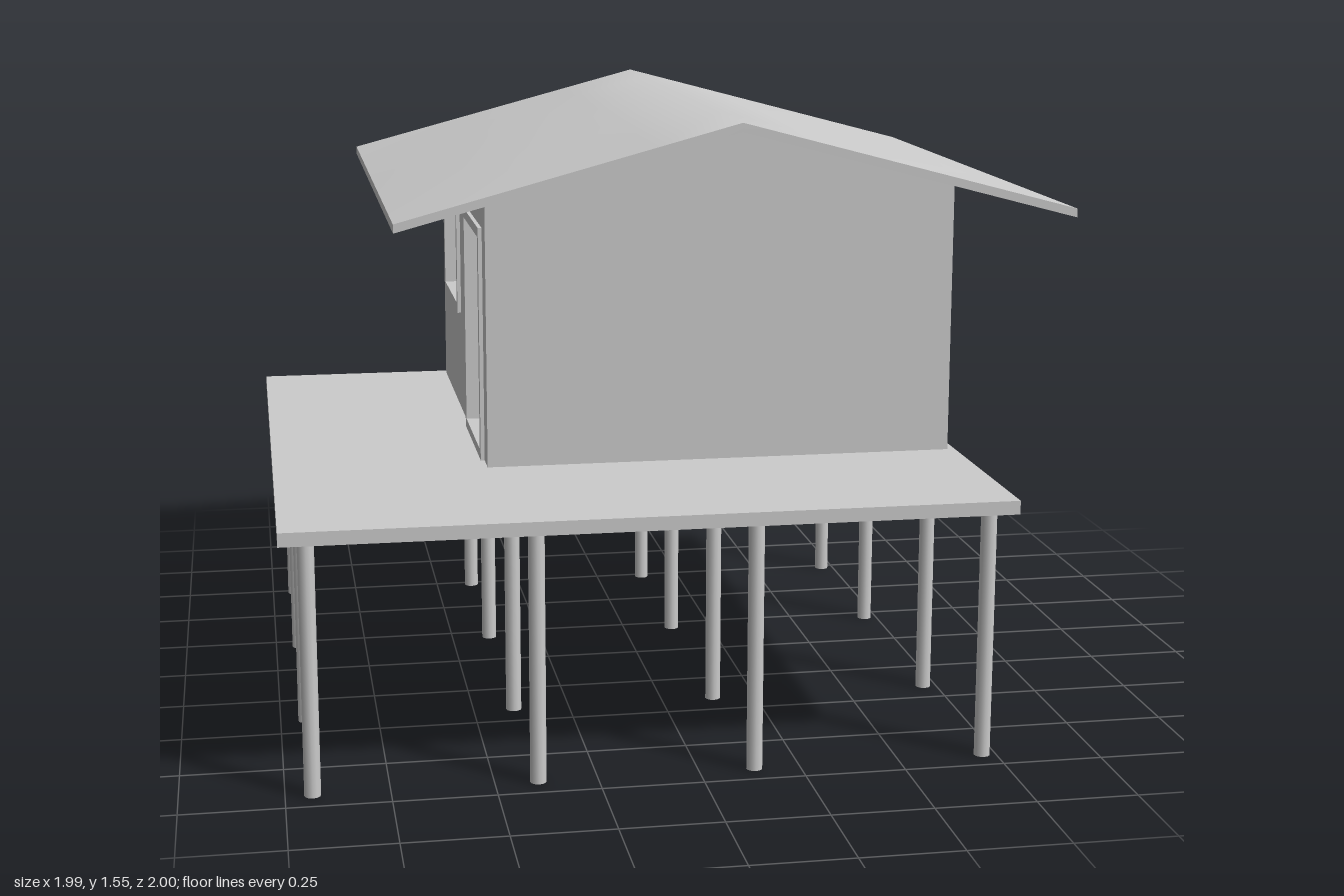
import * as THREE from 'three';

const mat = new THREE.MeshStandardMaterial({ color: 0xcccccc, side: THREE.DoubleSide });

const FLOOR = 0.667, EAVE = 1.375;          // deck surface, top of the side walls
const X0 = -0.46, X1 = 0.75, Z0 = -0.75, Z1 = 0.46; // outer faces of the house
const RIDGE_X = 0.145, SLOPE = 0.266, WALL = 0.03;

function add(parent, name, geometry, x = 0, y = 0, z = 0) {
  const mesh = new THREE.Mesh(geometry, mat);
  mesh.name = name;
  mesh.position.set(x, y, z);
  parent.add(mesh);
  return mesh;
}

// Box given by its lower and upper corners
function block(parent, name, x0, x1, y0, y1, z0, z1) {
  return add(parent, name, new THREE.BoxGeometry(x1 - x0, y1 - y0, z1 - z0),
    (x0 + x1) / 2, (y0 + y1) / 2, (z0 + z1) / 2);
}

function rectangle(path, a0, a1, b0, b1) {
  path.moveTo(a0, b0);
  path.lineTo(a1, b0);
  path.lineTo(a1, b1);
  path.lineTo(a0, b1);
  path.closePath();
  return path;
}

// Thin pitched sheet: a box bent along the ridge, with a faint swell in the middle
function roofGeometry() {
  const halfX = 0.8475, halfZ = 0.8525;
  const geo = new THREE.BoxGeometry(halfX * 2, 0.022, halfZ * 2, 8, 1, 6);
  const p = geo.attributes.position;
  for (let i = 0; i < p.count; i++) {
    const x = p.getX(i), z = p.getZ(i);
    const d = Math.abs(x) / halfX;
    const swell = 0.012 * Math.sin(Math.PI * d) * Math.cos((z / halfZ) * Math.PI / 2);
    p.setY(i, p.getY(i) - Math.abs(x) * SLOPE + swell);
    p.setZ(i, z * (1 - 0.015 * (1 - d)));
  }
  geo.computeVertexNormals();
  return geo;
}

export function createModel() {
  const model = new THREE.Group();
  model.name = 'stiltHouse';

  // Deck on a grid of round posts
  block(model, 'deck', -1, 0.77, 0.633, FLOOR, -0.775, 1);
  const posts = new THREE.Group();
  posts.name = 'posts';
  model.add(posts);
  const postGeo = new THREE.CylinderGeometry(0.02, 0.02, 0.635, 12);
  for (const x of [-0.935, -0.395, 0.137, 0.715])
    for (const z of [0.93, 0.41, -0.205, -0.73])
      add(posts, 'post', postGeo, x, 0.3175, z);

  // Gable walls at the front and back
  const house = new THREE.Group();
  house.name = 'house';
  model.add(house);
  const gable = new THREE.Shape();
  gable.moveTo(X0, FLOOR);
  gable.lineTo(X1, FLOOR);
  gable.lineTo(X1, EAVE);
  gable.lineTo(RIDGE_X, 1.54);
  gable.lineTo(X0, EAVE);
  gable.closePath();
  const gableGeo = new THREE.ExtrudeGeometry(gable, { depth: WALL, bevelEnabled: false });
  add(house, 'frontWall', gableGeo, 0, 0, Z1 - WALL);
  add(house, 'backWall', gableGeo, 0, 0, Z0);

  // Plain side wall
  block(house, 'plainSideWall', X1 - WALL, X1, FLOOR, EAVE, Z0 + WALL, Z1 - WALL);

  // Side wall with the window and door openings, drawn in z and y
  const openings = [
    { name: 'window', z0: -0.63, z1: -0.22, y0: 0.945, y1: 1.27, sill: true },
    { name: 'door', z0: -0.02, z1: 0.385, y0: FLOOR, y1: 1.27, sill: true },
  ];
  const side = rectangle(new THREE.Shape(), Z0 + WALL, Z1 - WALL, FLOOR, EAVE);
  for (const o of openings)
    side.holes.push(rectangle(new THREE.Path(), o.z0 + 0.005, o.z1 - 0.005, o.y0 + 0.005, o.y1 - 0.005));
  const sideGeo = new THREE.ExtrudeGeometry(side, { depth: WALL, bevelEnabled: false });
  sideGeo.rotateY(-Math.PI / 2);            // z of the drawing becomes the wall length
  add(house, 'openSideWall', sideGeo, X0 + WALL, 0, 0);

  // Frames standing slightly proud of the wall
  for (const o of openings) {
    const t = 0.025;
    const frame = rectangle(new THREE.Shape(), o.z0, o.z1, o.y0, o.y1);
    frame.holes.push(rectangle(new THREE.Path(), o.z0 + t, o.z1 - t, o.y0 + t, o.y1 - t));
    const geo = new THREE.ExtrudeGeometry(frame, { depth: 0.045, bevelEnabled: false });
    geo.rotateY(-Math.PI / 2);
    add(house, o.name + 'Frame', geo, X0 + 0.035, 0, 0);
  }

  // Roof
  add(model, 'roof', roofGeometry(), RIDGE_X, 1.544, -0.1475);
  return model;
}
